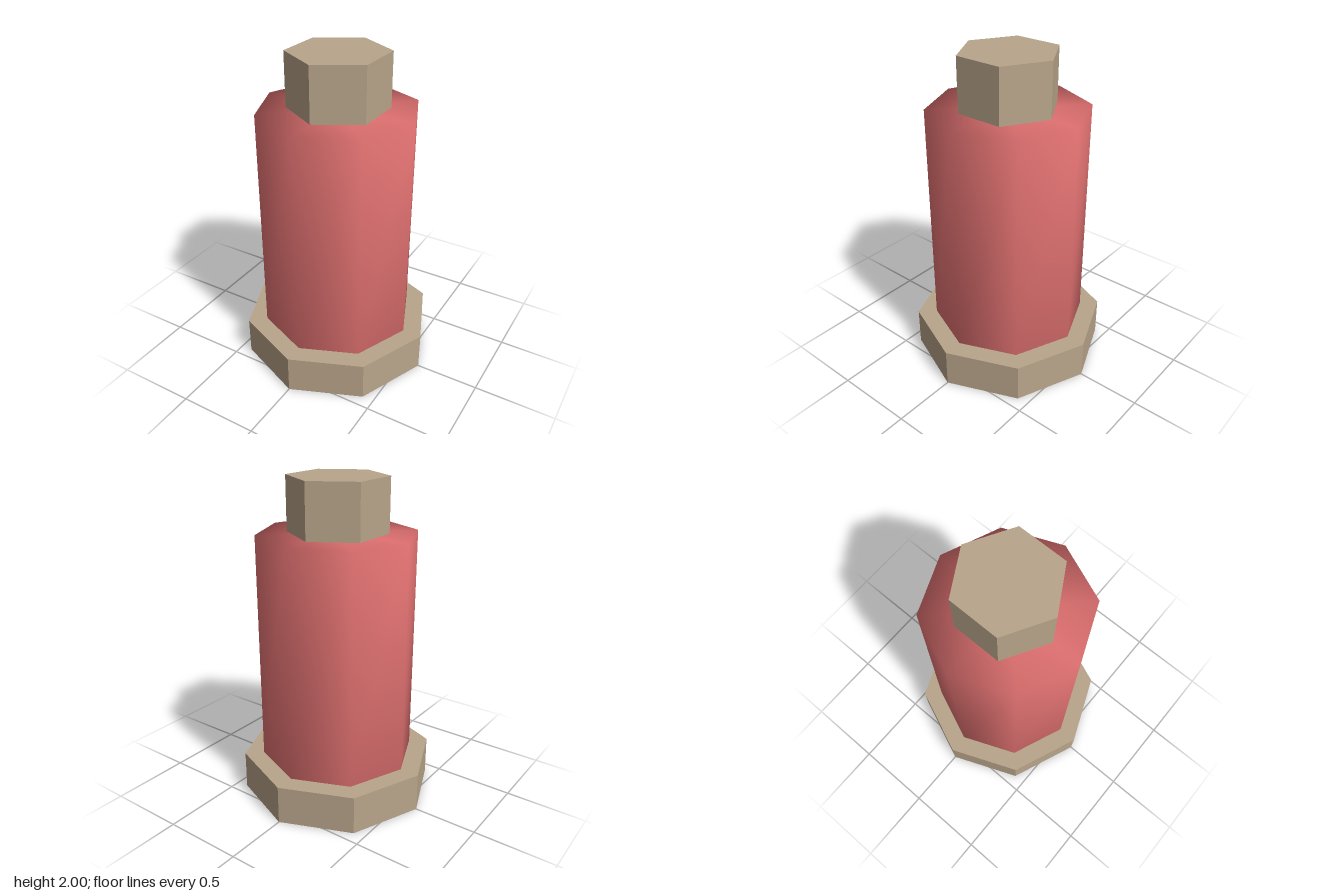
import * as THREE from 'three';
import { mergeVertices } from 'three/addons/utils/BufferGeometryUtils.js';

const tan = new THREE.MeshStandardMaterial({ color: 0xb9a58a, flatShading: true });
const red = new THREE.MeshStandardMaterial({ color: 0xe57373 });

// Upright prism between two heights, with a corner facing the front
function prism(name, radius, bottom, top, sides, material) {
  let geometry = new THREE.CylinderGeometry(radius, radius, top - bottom, sides);
  if (!material.flatShading) {
    // Share corners between sides and caps so the shading is smooth all over
    geometry.deleteAttribute('normal');
    geometry.deleteAttribute('uv');
    geometry = mergeVertices(geometry, 1e-4);
    geometry.computeVertexNormals();
  }
  const mesh = new THREE.Mesh(geometry, material);
  mesh.name = name;
  mesh.position.y = (bottom + top) / 2;
  return mesh;
}

export function createModel() {
  const model = new THREE.Group();
  model.name = 'cappedCylinder';
  model.add(
    prism('base', 0.606, 0, 0.243, 8, tan),
    prism('body', 0.485, 0.243, 1.67, 8, red),
    prism('topCap', 0.303, 1.67, 2, 6, tan),
  );
  return model;
}
